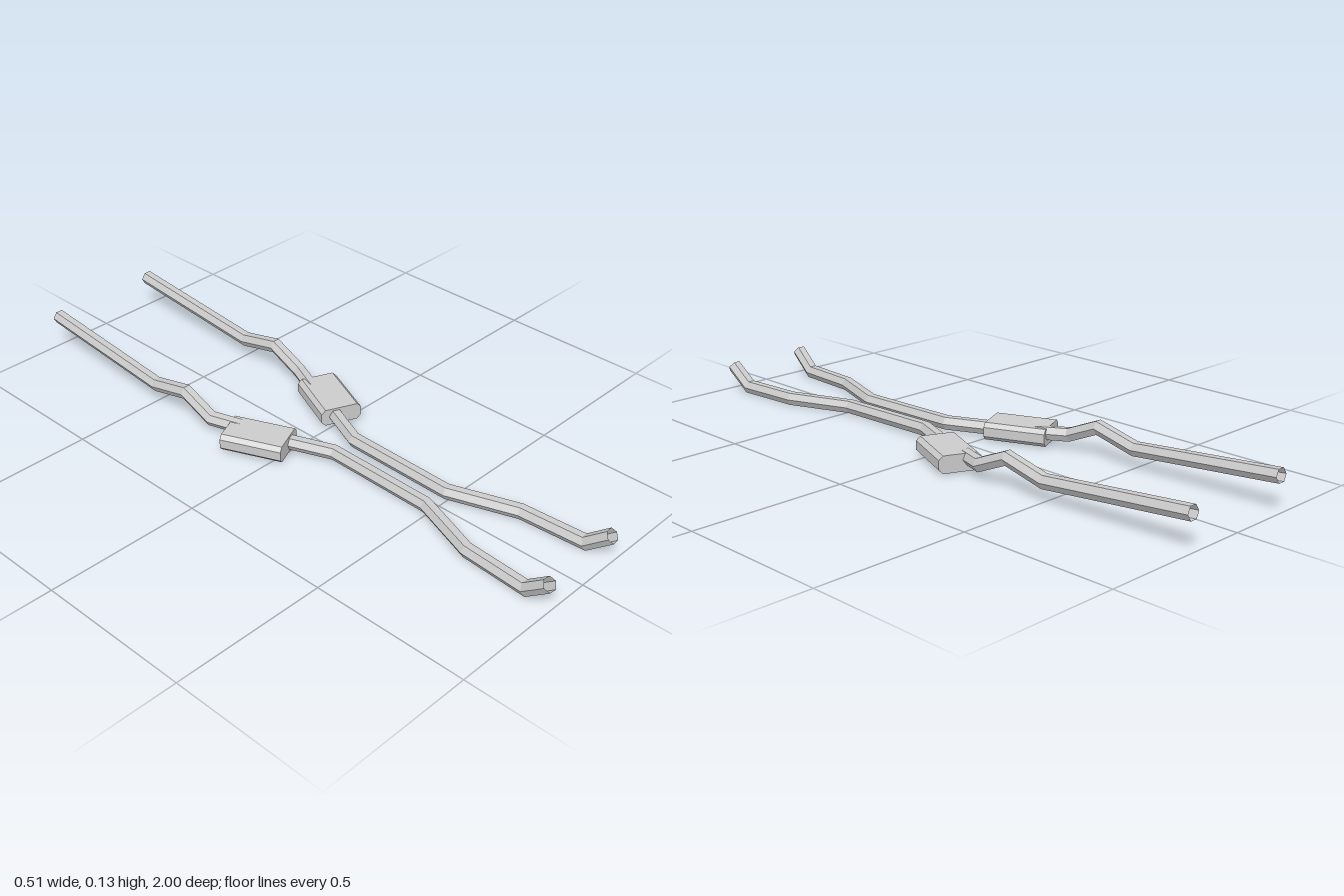
import * as THREE from 'three';

const metal = new THREE.MeshStandardMaterial({ color: 0xcccccc, flatShading: true, side: THREE.DoubleSide });
const RADIUS = 0.023, SIDES = 6;

// Open hexagonal tube swept along straight segments with mitred joints
function pipe(name, points, sx) {
  const path = points.map(([x, y, z]) => new THREE.Vector3(x * sx, y, z));
  const dirs = path.slice(1).map((p, i) => p.clone().sub(path[i]).normalize());
  const side = new THREE.Vector3(0, 1, 0).cross(dirs[0]).normalize();
  const up = dirs[0].clone().cross(side);
  let ring = [];
  for (let j = 0; j < SIDES; j++) {
    const a = (j / SIDES) * Math.PI * 2;
    ring.push(path[0].clone().addScaledVector(side, RADIUS * Math.cos(a)).addScaledVector(up, RADIUS * Math.sin(a)));
  }
  const rings = [ring];
  for (let i = 1; i < path.length; i++) {
    // slide the previous ring along its segment to the mitre plane
    const d = dirs[i - 1];
    const n = d.clone().add(dirs[i] ?? d).normalize();
    ring = ring.map(v => v.clone().addScaledVector(d, path[i].clone().sub(v).dot(n) / d.dot(n)));
    rings.push(ring);
  }
  const index = [];
  for (let i = 0; i < rings.length - 1; i++) {
    for (let j = 0; j < SIDES; j++) {
      const k = (j + 1) % SIDES;
      const a = i * SIDES + j, b = i * SIDES + k, c = b + SIDES, d = a + SIDES;
      index.push(a, b, c, a, c, d);
    }
  }
  const geo = new THREE.BufferGeometry().setFromPoints(rings.flat());
  geo.setIndex(index);
  geo.computeVertexNormals();
  const mesh = new THREE.Mesh(geo, metal);
  mesh.name = name;
  return mesh;
}

// Flat box with chamfered long edges, angled outward to the rear
function muffler(name, sx) {
  const w = 0.066, h = 0.0275, c = 0.013;
  const corners = [[w, -h + c], [w, h - c], [w - c, h], [-w + c, h], [-w, h - c], [-w, -h + c], [-w + c, -h], [w - c, -h]];
  const shape = new THREE.Shape(corners.map(([x, y]) => new THREE.Vector2(x, y)));
  const geo = new THREE.ExtrudeGeometry(shape, { depth: 0.196, bevelEnabled: false });
  geo.translate(0, 0, -0.098);
  const mesh = new THREE.Mesh(geo, metal);
  mesh.name = name;
  mesh.position.set(0.155 * sx, 0.0325, -0.083);
  mesh.rotation.y = -0.41 * sx;
  return mesh;
}

const frontPath = [
  [0.141, 0.081, 0.988], [0.135, 0.021, 0.912], [0.121, 0.022, 0.7], [0.045, 0.024, 0.49],
  [0.045, 0.031, 0.13], [0.108, 0.033, -0.02],
];
const rearPath = [
  [0.192, 0.109, -0.998], [0.194, 0.062, -0.5], [0.194, 0.095, -0.36],
  [0.192, 0.047, -0.25], [0.152, 0.041, -0.15],
];

export function createModel() {
  const model = new THREE.Group();
  model.name = 'exhaustSystem';
  for (const [label, sx] of [['left', 1], ['right', -1]]) {
    const line = new THREE.Group();
    line.name = label + 'ExhaustLine';
    line.add(
      pipe(label + 'FrontPipe', frontPath, sx),
      muffler(label + 'Muffler', sx),
      pipe(label + 'RearPipe', rearPath, sx),
    );
    model.add(line);
  }
  return model;
}
